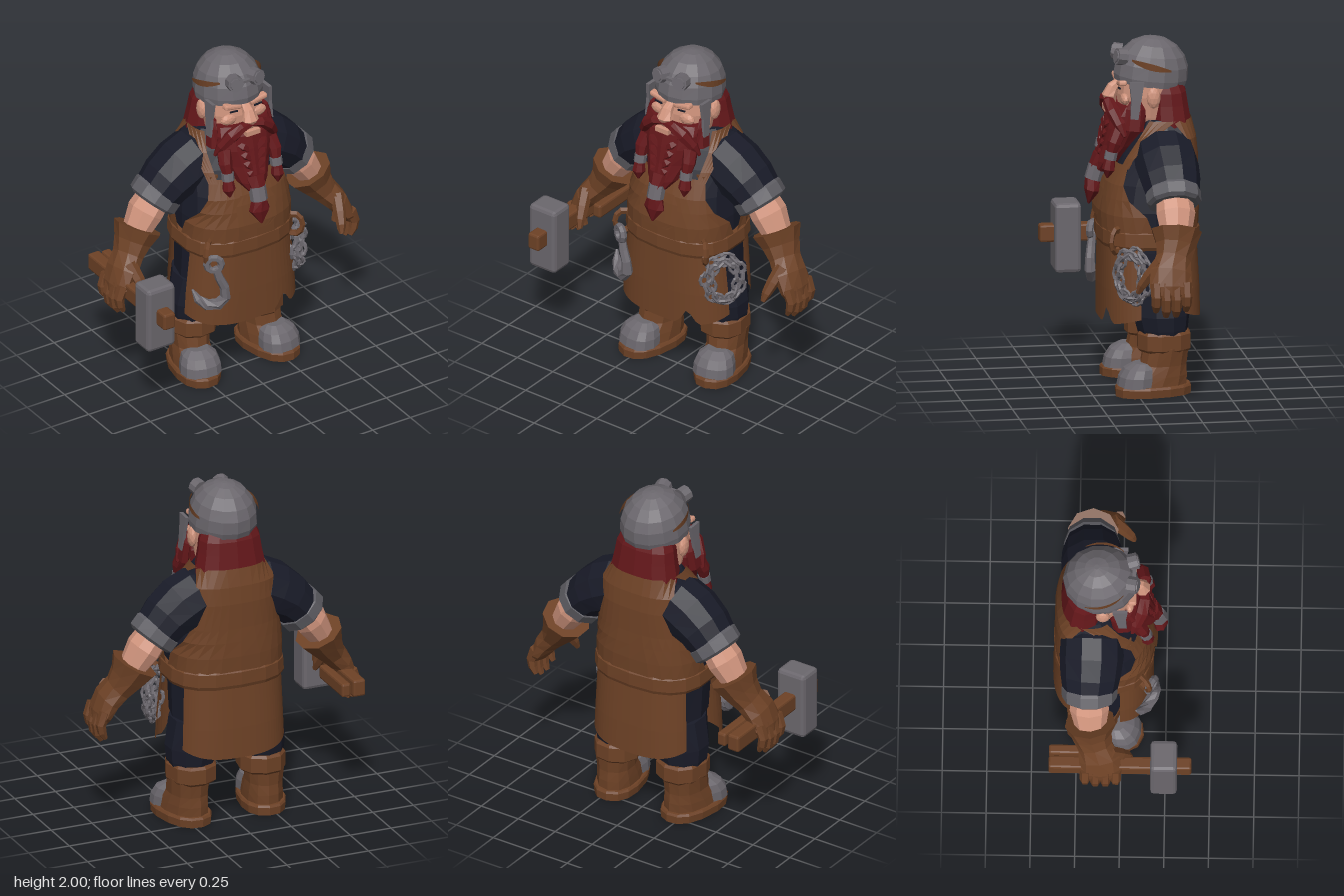
import * as THREE from 'three';
import { RoundedBoxGeometry } from 'three/addons/geometries/RoundedBoxGeometry.js';

const V = (x, y, z) => new THREE.Vector3(x, y, z);
const mat = (name, color, side = THREE.FrontSide) => Object.assign(new THREE.MeshStandardMaterial({ color, side }), { name });
const sp = (v, e) => Math.sign(v) * Math.abs(v) ** e;
const rad = THREE.MathUtils.degToRad;

// Faceted normals for any geometry
function flat(g) {
  const f = g.index ? g.toNonIndexed() : g;
  f.computeVertexNormals();
  return f;
}

// Skin between rows of points, optionally capped at both ends
function surf(rows, cap = true) {
  const pts = [], tri = (a, b, c) => pts.push(a, b, c);
  const n = rows[0].length - 1;
  for (let i = 0; i < rows.length - 1; i++) for (let j = 0; j < n; j++) {
    const [a, b, c, d] = [rows[i][j], rows[i][j + 1], rows[i + 1][j], rows[i + 1][j + 1]];
    tri(a, b, d); tri(a, d, c);
  }
  if (cap) [rows[0], rows[rows.length - 1]].forEach((r, k) => {
    const m = V(0, 0, 0);
    for (let j = 0; j < n; j++) m.addScaledVector(r[j], 1 / n);
    for (let j = 0; j < n; j++) k ? tri(m, r[j], r[j + 1]) : tri(m, r[j + 1], r[j]);
  });
  return flat(new THREE.BufferGeometry().setFromPoints(pts));
}

// Horizontal arc, angle 0 at the front, growing towards +x
function arc(y, rx, rz, cx, cz, a0 = 0, a1 = 360, n = 12, e = 1) {
  return Array.from({ length: n + 1 }, (_, j) => {
    const t = rad(a0 + (a1 - a0) * j / n);
    return V(cx + rx * sp(Math.sin(t), e), y, cz + rz * sp(Math.cos(t), e));
  });
}
// Upright solid from rows [y, rx, rz, cx, cz], bottom to top
const stack = (rows, n = 12, e = 1) => surf(rows.map(([y, rx, rz, cx, cz]) => arc(y, rx, rz, cx, cz, 0, 360, n, e)));

// Tapered solid along a path of rings [x, y, z, ru, rv]
function limb(rings, n = 8) {
  const c = rings.map(r => V(r[0], r[1], r[2])), last = c.length - 1;
  return surf(rings.map((r, i) => {
    const t = c[Math.min(i + 1, last)].clone().sub(c[Math.max(i - 1, 0)]).normalize();
    const u = t.clone().cross(V(0, 0, 1)).normalize(), v = t.clone().cross(u);
    return Array.from({ length: n + 1 }, (_, j) => {
      const a = (j + 0.5) / n * Math.PI * 2;
      return c[i].clone().addScaledVector(u, r[3] * Math.cos(a)).addScaledVector(v, (r[4] ?? r[3]) * Math.sin(a));
    });
  }));
}

// Mirrored copy in x with the winding restored
function mirror(g) {
  const m = g.clone().scale(-1, 1, 1), p = m.attributes.position;
  for (let i = 0; i < p.count; i += 3) {
    const b = V().fromBufferAttribute(p, i + 1), c = V().fromBufferAttribute(p, i + 2);
    p.setXYZ(i + 1, c.x, c.y, c.z); p.setXYZ(i + 2, b.x, b.y, b.z);
  }
  m.computeVertexNormals();
  return m;
}

// Torso profile: [y, rx, rz, cx, cz]
const BODY = [[0.82, 0.32, 0.26, 0, -0.09], [0.95, 0.32, 0.27, 0, -0.095], [1.05, 0.32, 0.27, 0, -0.095],
  [1.2, 0.3, 0.25, 0, -0.11], [1.35, 0.28, 0.215, 0, -0.145], [1.45, 0.26, 0.18, 0, -0.17], [1.55, 0.19, 0.14, 0, -0.185]];
function bodyAt(y) {
  const i = Math.max(0, BODY.findIndex((r, k) => k < BODY.length - 1 && y <= BODY[k + 1][0]));
  const k = (y - BODY[i][0]) / (BODY[i + 1][0] - BODY[i][0]);
  return BODY[i].map((v, q) => v + (BODY[i + 1][q] - v) * k);
}
// Leather laid over the torso: rows [y, from angle, to angle]
const panel = (rows, off, n = 12) => surf(rows.map(([y, a0, a1]) => {
  const [, rx, rz, , cz] = bodyAt(y);
  return arc(y, rx + off, rz + off, 0, cz, a0, a1, n, 0.75);
}), false);

export function createModel() {
  const group = new THREE.Group();
  const leather = mat('leather', 0x6e4226, THREE.DoubleSide), steel = mat('steel', 0x6b676d);
  const cloth = mat('darkCloth', 0x191b28), skin = mat('skin', 0xd0947d);
  const red = mat('redHair', 0x64171a), trim = mat('greyCloth', 0x5d5c62);
  const add = (name, g, m) => {
    const mesh = new THREE.Mesh(flat(g), m);
    mesh.name = name;
    group.add(mesh);
  };
  const pair = (name, g, m) => {
    const f = flat(g);
    add(name + 'Left', f, m); add(name + 'Right', mirror(f), m);
  };

  // Torso, bib, back and straps
  add('shirt', stack(BODY, 16, 0.75), cloth);
  add('apronBib', panel([[0.9, -90, 90], [1.03, -84, 84], [1.12, -62, 62], [1.2, -50, 50], [1.31, -45, 45]], 0.014), leather);
  add('apronBack', panel([[0.9, 90, 270], [1.03, 96, 264], [1.12, 115, 245], [1.2, 125, 235], [1.35, 130, 230], [1.45, 122, 238], [1.55, 95, 265]], 0.014), leather);
  pair('apronStrap', panel([[1.29, 33, 46], [1.35, 36, 52], [1.45, 42, 66], [1.55, 55, 100]], 0.018, 4), leather);
  add('pocket', panel([[1.0, -8, 8], [1.04, -15, 15], [1.16, -16, 16], [1.215, -11, 11]], 0.028, 6), leather);
  pair('strapStud', new THREE.BoxGeometry(0.05, 0.04, 0.03).translate(0.2, 1.31, 0.04), leather);
  add('belt', stack([[0.84, 0.335, 0.28, 0, -0.095], [0.86, 0.345, 0.287, 0, -0.095], [0.935, 0.34, 0.287, 0, -0.095], [0.95, 0.325, 0.275, 0, -0.095]], 18, 0.75), leather);
  pair('beltLoop', new THREE.TorusGeometry(0.05, 0.016, 5, 10).scale(1, 1.3, 1).rotateY(-0.75).translate(0.285, 0.895, 0.125), leather);

  // Apron skirts with a torn front hem
  const skirt = (y, rx, rz, a0, a1, hem) => arc(y, rx, rz, 0, -0.095, a0, a1, 28, 0.72).map((p, j) => {
    const k = j / 14 - 1;
    if (hem) p.y += 0.05 * k * k + (a0 < 0 ? 0.1 * Math.max(0, 1 - Math.abs(p.x - 0.19) / 0.06) : 0);
    return p;
  });
  add('apronFrontSkirt', surf([skirt(0.4, 0.365, 0.275, -78, 78, true), skirt(0.6, 0.355, 0.275, -78, 78), skirt(0.87, 0.325, 0.27, -78, 78)], false), leather);
  add('apronBackSkirt', surf([skirt(0.42, 0.34, 0.29, 118, 242, true), skirt(0.6, 0.335, 0.285, 118, 242), skirt(0.87, 0.325, 0.27, 118, 242)], false), leather);

  // Trousers
  add('hips', stack([[0.52, 0.26, 0.19, 0, -0.13], [0.62, 0.31, 0.22, 0, -0.12], [0.88, 0.31, 0.24, 0, -0.1]], 12, 0.8), cloth);
  pair('trouserLeg', stack([[0.3, 0.125, 0.13, 0.21, -0.155], [0.37, 0.14, 0.145, 0.21, -0.15], [0.45, 0.155, 0.16, 0.2, -0.145], [0.62, 0.15, 0.18, 0.175, -0.14]], 10), cloth);

  // Boots, toes turned slightly out
  const boot = (name, rows, m, n = 12, e = 1) => pair(name, stack(rows, n, e).rotateY(0.18).translate(0.232, 0, -0.16), m);
  boot('bootSole', [[0, 0.128, 0.22, 0, 0.07], [0.045, 0.133, 0.222, 0, 0.07], [0.058, 0.125, 0.215, 0, 0.07]], leather, 14, 0.85);
  boot('bootShaft', [[0.05, 0.115, 0.19, 0, 0.06], [0.11, 0.112, 0.165, 0, 0.035], [0.17, 0.106, 0.135, 0, 0.01], [0.27, 0.115, 0.13, 0, -0.005]], leather, 12, 0.9);
  boot('toeCap', [[0.055, 0.119, 0.105, 0, 0.172], [0.11, 0.116, 0.1, 0, 0.166], [0.155, 0.1, 0.085, 0, 0.152], [0.185, 0.06, 0.05, 0, 0.135]], steel, 12, 0.85);
  boot('bootCuff', [[0.245, 0.12, 0.14, -0.015, 0], [0.26, 0.135, 0.154, -0.018, 0], [0.345, 0.135, 0.154, -0.018, 0], [0.36, 0.122, 0.143, -0.018, 0]], leather, 10, 0.85);

  // Arms and gloves
  pair('sleeve', limb([[0.1, 1.37, -0.165, 0.13, 0.15], [0.2, 1.355, -0.165, 0.165, 0.175], [0.28, 1.315, -0.165, 0.165, 0.18], [0.37, 1.255, -0.17, 0.145, 0.17], [0.45, 1.17, -0.175, 0.125, 0.15]], 10), cloth);
  pair('sleeveCuff', limb([[0.415, 1.205, -0.175, 0.13, 0.147], [0.425, 1.195, -0.175, 0.143, 0.158], [0.465, 1.147, -0.175, 0.143, 0.155], [0.475, 1.135, -0.175, 0.12, 0.135]], 10), trim);
  pair('forearm', limb([[0.43, 1.19, -0.175, 0.09, 0.1], [0.51, 1.09, -0.175, 0.1, 0.112], [0.6, 0.95, -0.165, 0.07, 0.08]], 9), skin);
  pair('glove', limb([[0.565, 1.005, -0.17, 0.14, 0.145], [0.605, 0.93, -0.16, 0.105, 0.115], [0.65, 0.865, -0.14, 0.08, 0.1], [0.705, 0.8, -0.115, 0.07, 0.118], [0.75, 0.72, -0.11, 0.05, 0.122], [0.765, 0.68, -0.11, 0.035, 0.1]], 9), leather);
  for (let i = 0; i < 4; i++) {
    const z = -0.195 + i * 0.057, d = i === 0 || i === 3 ? 0.03 : 0;
    pair('finger' + (i + 1), limb([[0.755, 0.75, z, 0.035, 0.032], [0.783, 0.66 + d / 2, z, 0.03, 0.031], [0.775, 0.6 + d, z, 0.026, 0.028], [0.755, 0.56 + d, z, 0.014, 0.016]], 6), leather);
  }
  pair('thumb', limb([[0.69, 0.86, -0.06, 0.04], [0.67, 0.78, 0.0, 0.036], [0.655, 0.72, 0.04, 0.028], [0.645, 0.675, 0.06, 0.014]], 6), leather);

  // Hammer
  add('hammerHead', new RoundedBoxGeometry(0.185, 0.4, 0.15, 1, 0.022).translate(-0.717, 0.7, 0.245), steel);
  add('hammerHandle', new RoundedBoxGeometry(0.075, 0.1, 0.8, 1, 0.012).translate(-0.715, 0.72, 0), leather);
  add('hammerHandleBrace', new RoundedBoxGeometry(0.055, 0.08, 0.32, 1, 0.012).translate(-0.635, 0.72, -0.24), leather);

  // Head and face
  add('head', stack([[1.45, 0.12, 0.12, 0, -0.12], [1.56, 0.155, 0.155, 0, -0.09], [1.68, 0.175, 0.165, 0, -0.09], [1.8, 0.172, 0.16, 0, -0.1]], 12, 0.9), skin);
  add('nose', limb([[0, 1.75, 0.06, 0.026, 0.02], [0, 1.715, 0.095, 0.034, 0.036], [0, 1.67, 0.118, 0.05, 0.042], [0, 1.625, 0.105, 0.032, 0.028]], 8), skin);
  add('lip', new THREE.BoxGeometry(0.09, 0.03, 0.05).translate(0, 1.6, 0.127), skin);
  pair('cheek', new THREE.IcosahedronGeometry(0.05, 1).scale(1.1, 0.7, 0.5).translate(0.095, 1.665, 0.045), skin);
  pair('brow', new RoundedBoxGeometry(0.11, 0.03, 0.045, 1, 0.01).rotateZ(0.18).translate(0.085, 1.755, 0.06), skin);
  pair('eye', new THREE.BoxGeometry(0.05, 0.008, 0.008).rotateZ(0.1).translate(0.08, 1.724, 0.072), cloth);
  pair('ear', new THREE.IcosahedronGeometry(1, 1).scale(0.025, 0.062, 0.04).translate(0.183, 1.685, -0.105), skin);

  // Hair, beard and braids
  add('hair', stack([[1.5, 0.212, 0.125, 0, -0.22], [1.54, 0.21, 0.125, 0, -0.215], [1.63, 0.192, 0.115, 0, -0.21], [1.7, 0.182, 0.108, 0, -0.205], [1.78, 0.15, 0.09, 0, -0.19]], 12, 0.85), red);
  add('beard', stack([[1.24, 0.045, 0.04, 0, 0.17], [1.3, 0.095, 0.075, 0, 0.125], [1.4, 0.14, 0.115, 0, 0.06], [1.5, 0.185, 0.13, 0, 0.025], [1.58, 0.19, 0.125, 0, 0.01], [1.63, 0.178, 0.09, 0, 0.0]], 12, 0.9), red);
  pair('sideburn', limb([[0.17, 1.67, 0.0, 0.012, 0.03], [0.178, 1.62, -0.005, 0.02, 0.055], [0.183, 1.5, 0.01, 0.03, 0.058]], 6), red);
  pair('moustache', limb([[0.005, 1.65, 0.125, 0.018, 0.025], [0.06, 1.645, 0.13, 0.028, 0.035], [0.12, 1.6, 0.115, 0.038, 0.04], [0.17, 1.53, 0.08, 0.03, 0.035], [0.2, 1.47, 0.06, 0.008, 0.01]], 7), red);
  for (let i = 0; i < 5; i++) {
    const y = 1.56 - i * 0.055, w = 0.12 - i * 0.016, z = 0.12 + i * 0.012;
    pair('beardStrand' + (i + 1), limb([[w, y, z - 0.03, 0.012], [w * 0.5, y - 0.045, z + 0.01, 0.028], [0, y - 0.09, z + 0.022, 0.012]], 5), red);
  }
  pair('sideBraid', limb([[0.15, 1.5, 0.08, 0.045], [0.165, 1.43, 0.115, 0.04], [0.16, 1.36, 0.135, 0.028], [0.162, 1.32, 0.142, 0.032], [0.162, 1.28, 0.148, 0.038], [0.16, 1.23, 0.155, 0.005]], 7), red);
  pair('sideBraidRing', limb([[0.16, 1.38, 0.13, 0.036], [0.161, 1.335, 0.14, 0.036]], 8), steel);
  add('centreBraid', limb([[0, 1.33, 0.16, 0.07, 0.05], [0, 1.25, 0.195, 0.045], [0, 1.19, 0.21, 0.045], [0, 1.13, 0.215, 0.065, 0.045], [0, 1.05, 0.235, 0.006]], 7), red);
  add('centreBraidRing', limb([[0, 1.27, 0.187, 0.05], [0, 1.19, 0.21, 0.05]], 8), steel);

  // Helmet with cheek guards and goggles
  add('helmet', stack([[-0.015, 0.19, 0.203, 0, 0], [0.02, 0.193, 0.212, 0, 0], [0.09, 0.185, 0.207, 0, 0], [0.15, 0.163, 0.18, 0, 0], [0.205, 0.118, 0.13, 0, 0], [0.237, 0.06, 0.068, 0, 0], [0.246, 0.015, 0.015, 0, 0]], 14).rotateX(-0.11).translate(0, 1.755, -0.115), steel);
  pair('cheekGuard', limb([[0.187, 1.78, -0.008, 0.014, 0.06], [0.194, 1.68, -0.004, 0.014, 0.04], [0.2, 1.57, 0.008, 0.013, 0.032]], 4), steel);
  const strapRow = w => Array.from({ length: 9 }, (_, j) => {
    const k = j / 8, t = rad(48 + 68 * k), r = 0.024 * k;
    return V((0.178 + r) * Math.sin(t), 1.893 - 0.06 * k + w * (0.4 + Math.sin(k * Math.PI)), -0.115 + (0.186 + r) * Math.cos(t));
  });
  pair('goggleStrap', surf([strapRow(-0.014), strapRow(0.014)], false), leather);
  const disc = (r, h, out) => new THREE.CylinderGeometry(r, r * 1.05, h, 9).translate(0, out, 0).rotateX(1.4).rotateY(0.22).translate(0.07, 1.903, 0.062);
  pair('goggleRim', disc(0.047, 0.055, 0), steel);
  pair('goggleLens', disc(0.034, 0.008, 0.03), steel);
  add('goggleBridge', new THREE.BoxGeometry(0.05, 0.016, 0.02).translate(0, 1.9, 0.07), steel);

  // Hook hanging from the belt
  add('hookEye', new THREE.TorusGeometry(0.042, 0.021, 6, 10).rotateY(-0.5).translate(-0.275, 0.835, 0.17), steel);
  add('hook', limb([[-0.265, 0.81, 0.17, 0.022], [-0.245, 0.74, 0.18, 0.026], [-0.218, 0.68, 0.19, 0.028], [-0.212, 0.615, 0.19, 0.033], [-0.25, 0.57, 0.175, 0.035],
    [-0.305, 0.565, 0.145, 0.034], [-0.345, 0.6, 0.11, 0.026], [-0.365, 0.655, 0.085, 0.006]], 7), steel);

  // Coiled chain on the other hip
  const chain = new THREE.Group();
  chain.name = 'chain';
  const link = flat(new THREE.TorusGeometry(0.023, 0.01, 5, 8).scale(1.5, 1, 1));
  const side = V(0.075, 0, -0.08), out = V(0.73, 0, 0.68);
  for (let c = 0; c < 2; c++) for (let i = 0; i < 14; i++) {
    const a = (i + c * 0.5) / 14 * Math.PI * 2, ry = 0.145 - c * 0.025, s = 1 - c * 0.35;
    const tan = side.clone().multiplyScalar(-s * Math.sin(a)).add(V(0, ry * Math.cos(a), 0)).normalize();
    const across = tan.clone().cross(out).normalize(), zAxis = i % 2 ? out : across;
    const mesh = new THREE.Mesh(link, steel);
    mesh.name = 'chainLink';
    mesh.quaternion.setFromRotationMatrix(new THREE.Matrix4().makeBasis(tan, zAxis.clone().cross(tan), zAxis));
    mesh.position.set(0.352, 0.705, 0.04).addScaledVector(side, s * Math.cos(a)).addScaledVector(out, c * 0.025);
    mesh.position.y += ry * Math.sin(a);
    chain.add(mesh);
  }
  group.add(chain);
  return group;
}
